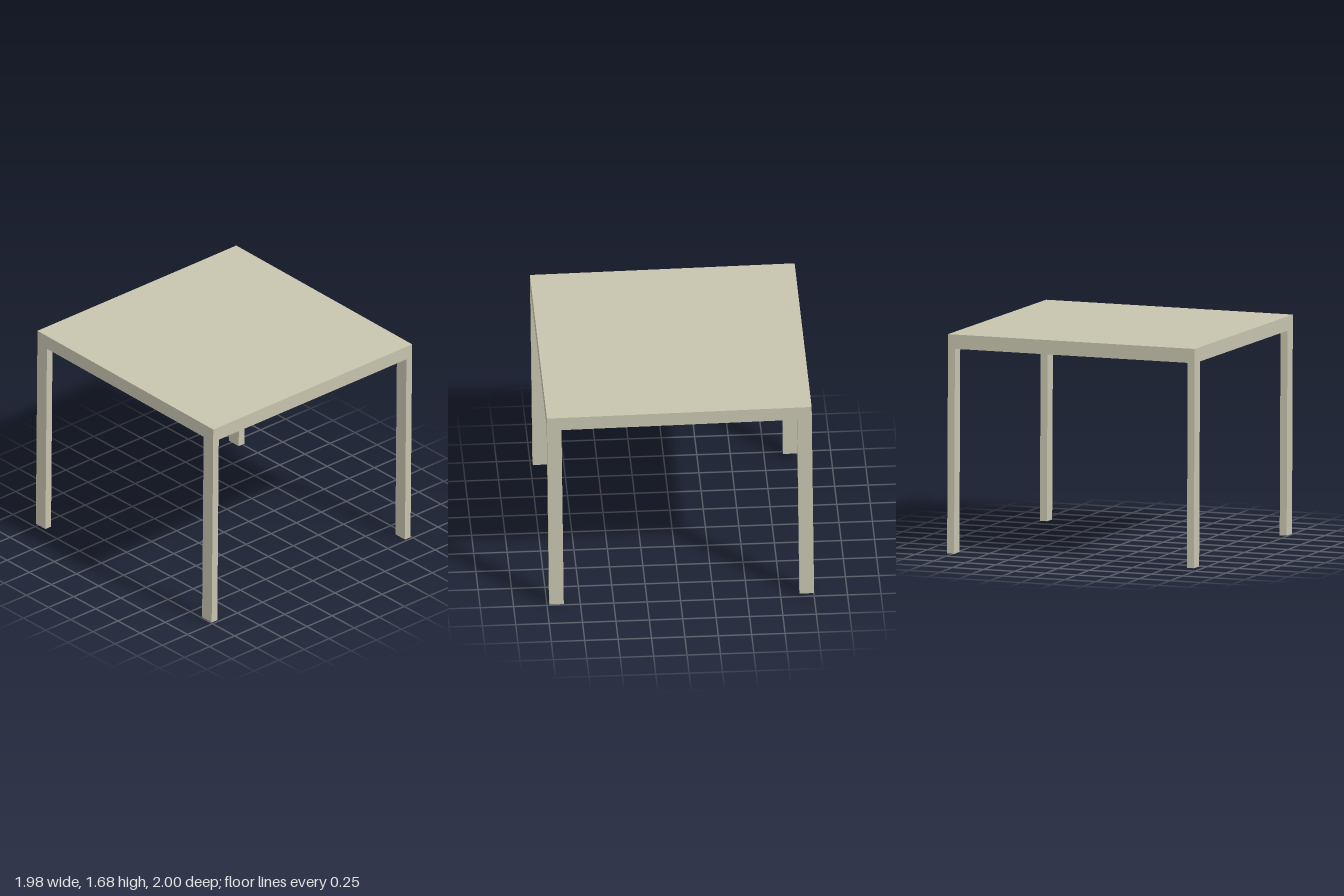
import * as THREE from 'three';

const WIDTH = 1.984, DEPTH = 1.982, HEIGHT = 1.655;
const TOP = 0.108, LEG_X = 0.056, LEG_Z = 0.108;
const TILT = 0.011;

export function createModel() {
  const model = new THREE.Group();
  model.name = 'table';
  const material = new THREE.MeshStandardMaterial({ color: 0xc6c4ae, flatShading: true });

  const addBox = (name, w, h, d, x, y, z) => {
    const mesh = new THREE.Mesh(new THREE.BoxGeometry(w, h, d), material);
    mesh.name = name;
    mesh.position.set(x, y, z);
    frame.add(mesh);
  };

  // the whole table leans very slightly forward, resting on its front legs
  const frame = new THREE.Group();
  frame.name = 'tableFrame';
  frame.rotation.x = TILT;
  frame.position.set(0, Math.sin(TILT) * DEPTH / 2, -Math.sin(TILT) * HEIGHT / 2);
  model.add(frame);

  // solid slab top
  addBox('tableTop', WIDTH, TOP, DEPTH, 0, HEIGHT - TOP / 2, 0);

  // four blade-like legs flush with the corners
  const legHeight = HEIGHT - TOP;
  for (const [zName, sz] of [['front', 1], ['back', -1]]) {
    for (const [xName, sx] of [['Left', 1], ['Right', -1]]) {
      addBox(`${zName}${xName}Leg`, LEG_X, legHeight, LEG_Z,
        sx * (WIDTH - LEG_X) / 2, legHeight / 2, sz * (DEPTH - LEG_Z) / 2);
    }
  }
  return model;
}
